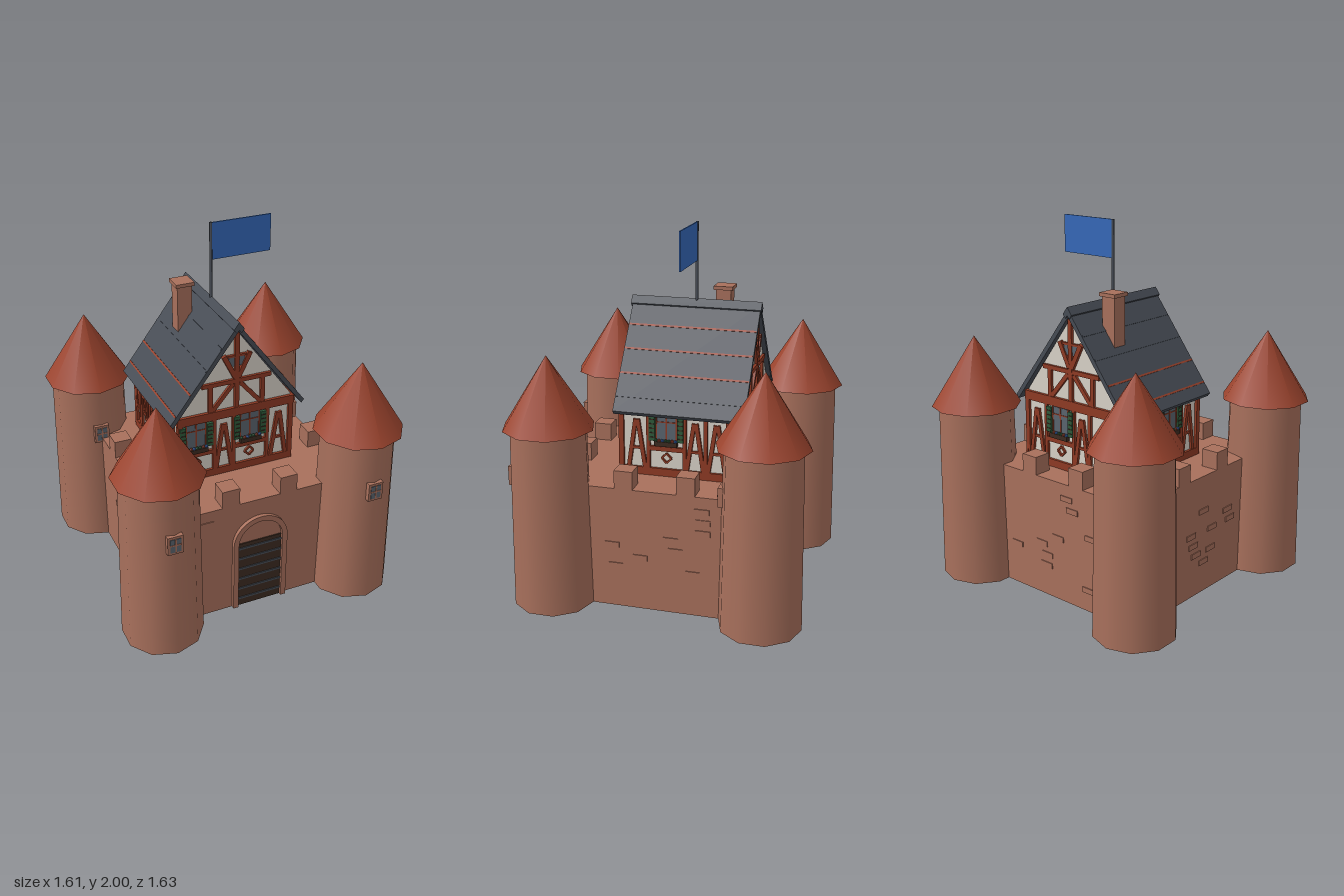
import * as THREE from 'three';

const mat = (name, color) => Object.assign(new THREE.MeshStandardMaterial({ color }), { name });

export function createModel() {
  const brick = mat('brick', 0xa8705c), tile = mat('red tile', 0x9c442e), timber = mat('timber', 0x8e3a24);
  const plaster = mat('plaster', 0xd8d2c8), slate = mat('slate', 0x474c55), glass = mat('glass', 0x5a646e);
  const blue = mat('flag blue', 0x3568b8), green = mat('shutter green', 0x2f5a3a), wood = mat('dark wood', 0x3c2b21);

  const castle = new THREE.Group();
  castle.name = 'castle';

  function add(parent, name, geo, m, x = 0, y = 0, z = 0) {
    const mesh = new THREE.Mesh(geo, m);
    mesh.name = name;
    mesh.position.set(x, y, z);
    parent.add(mesh);
    return mesh;
  }
  const box = (parent, name, m, w, h, d, x, y, z) => add(parent, name, new THREE.BoxGeometry(w, h, d), m, x, y, z);
  function group(parent, name, x = 0, y = 0, z = 0, ry = 0) {
    const g = new THREE.Group();
    g.name = name;
    g.position.set(x, y, z);
    g.rotation.y = ry;
    parent.add(g);
    return g;
  }
  const polygon = pts => new THREE.Shape(pts.map(p => new THREE.Vector2(p[0], p[1])));
  const extrude = (shape, depth) => new THREE.ExtrudeGeometry(shape, { depth, bevelEnabled: false, curveSegments: 16 });

  // Timber running between two points on a facade
  function beam(parent, x1, y1, x2, y2, w = 0.025, d = 0.015) {
    const b = box(parent, 'timberBeam', timber, Math.hypot(x2 - x1, y2 - y1), w, d, (x1 + x2) / 2, (y1 + y2) / 2, d / 2);
    b.rotation.z = Math.atan2(y2 - y1, x2 - x1);
  }

  // Curtain walls
  box(castle, 'keepBase', brick, 1.14, 0.68, 1.14, 0, 0.34, 0);
  let seed = 7;
  const rand = () => (seed = (seed * 16807) % 2147483647) / 2147483647;
  for (let i = 0; i < 4; i++) {
    const wall = group(castle, 'wallSide', 0, 0, 0, i * Math.PI / 2);
    for (const s of [-1, 1]) box(wall, 'merlon', brick, 0.1, 0.105, 0.1, s * 0.168, 0.7275, 0.52);
    // Slightly raised stones
    for (let k = 0; k < 9; k++) {
      const x = (rand() - 0.5) * 0.62, y = 0.12 + 0.06 * Math.floor(rand() * 9);
      if (i === 0 && Math.abs(x) < 0.22) continue;
      box(wall, 'raisedStone', brick, 0.08, 0.03, 0.01, x, y, 0.57);
    }
  }

  // Corner towers
  for (const sx of [-1, 1]) for (const sz of [-1, 1]) {
    const t = group(castle, 'tower', sx * 0.57, 0, sz * 0.57);
    add(t, 'towerShaft', new THREE.CylinderGeometry(0.205, 0.222, 1, 10), brick, 0, 0.5, 0);
    add(t, 'towerRoof', new THREE.ConeGeometry(0.245, 0.385, 10), tile, 0, 1.182, 0);
    box(t, 'windowFrame', brick, 0.085, 0.105, 0.036, 0, 0.708, 0.205);
    box(t, 'windowPane', glass, 0.058, 0.078, 0.004, 0, 0.708, 0.224);
    box(t, 'windowBar', brick, 0.008, 0.078, 0.006, 0, 0.708, 0.225);
    box(t, 'windowBar', brick, 0.058, 0.008, 0.006, 0, 0.712, 0.225);
  }

  // Gate with arched surround
  const gate = group(castle, 'gate', 0, 0, 0.565);
  const arch = polygon([[-0.16, 0], [-0.13, 0], [-0.13, 0.42]]);
  arch.absarc(0, 0.42, 0.13, Math.PI, 0, true);
  arch.lineTo(0.13, 0);
  arch.lineTo(0.16, 0);
  arch.lineTo(0.16, 0.42);
  arch.absarc(0, 0.42, 0.16, 0, Math.PI, false);
  add(gate, 'gateArch', extrude(arch, 0.027), brick);
  box(gate, 'gateDoor', wood, 0.26, 0.42, 0.012, 0, 0.21, 0.005);
  for (let i = 0; i < 6; i++) box(gate, 'gateBar', slate, 0.26, 0.012, 0.008, 0, 0.05 + i * 0.068, 0.012);

  // House body with gables
  const house = group(castle, 'house');
  add(house, 'houseWalls', extrude(polygon([[-0.325, 0.68], [0.325, 0.68], [0.325, 1.09], [0, 1.53], [-0.325, 1.09]]), 0.655),
    plaster, 0, 0, -0.405);

  function houseWindow(f, x) {
    box(f, 'windowPane', glass, 0.115, 0.15, 0.006, x, 0.95, 0.006);
    for (const s of [-1, 1]) {
      box(f, 'windowFrame', timber, 0.008, 0.15, 0.012, x + s * 0.056, 0.95, 0.006);
      box(f, 'shutter', green, 0.034, 0.14, 0.016, x + s * 0.078, 0.95, 0.013);
      for (let k = 0; k < 5; k++) box(f, 'shutterSlat', wood, 0.026, 0.005, 0.004, x + s * 0.078, 0.9 + k * 0.025, 0.022);
    }
    beam(f, x, 0.88, x, 1.025, 0.008, 0.012);
    beam(f, x - 0.056, 0.985, x + 0.056, 0.985, 0.006, 0.012);
    beam(f, x - 0.095, 0.835, x + 0.095, 0.835);
    box(f, 'flowerBox', wood, 0.125, 0.026, 0.025, x, 0.868, 0.02);
    for (let k = 0; k < 7; k++)
      add(f, 'flower', new THREE.IcosahedronGeometry(0.01, 0), [green, tile, blue, green][k % 4], x - 0.054 + k * 0.018, 0.886, 0.024);
    // Diamond ornament
    const c = [[0, 0.027], [0.027, 0], [0, -0.027], [-0.027, 0]];
    c.forEach((p, k) => {
      const q = c[(k + 1) % 4];
      beam(f, x + p[0], 0.782 + p[1], x + q[0], 0.782 + q[1], 0.01, 0.012);
    });
  }

  // Half-timbered wall: long beams, posts, windows and A-shaped braces
  function facade(name, place, from, to, posts, windows, braces) {
    const f = group(house, name, ...place);
    beam(f, from, 0.7, to, 0.7, 0.045);
    beam(f, from, 1.055, to, 1.055, 0.05, 0.018);
    for (const x of [from + 0.014, to - 0.014]) beam(f, x, 0.68, x, 1.08, 0.028);
    for (const x of posts) beam(f, x, 0.72, x, 1.04, 0.02);
    for (const x of windows) houseWindow(f, x);
    for (const x of braces) {
      for (const s of [-1, 1]) beam(f, x + s * 0.046, 0.72, x + s * 0.006, 0.99, 0.022, 0.014);
      beam(f, x - 0.026, 0.83, x + 0.026, 0.83, 0.014, 0.012);
    }
    return f;
  }

  function gable(f) {
    beam(f, -0.2, 1.24, 0.2, 1.24, 0.024);
    beam(f, 0, 1.08, 0, 1.52, 0.026, 0.016);
    for (const s of [-1, 1]) {
      beam(f, s * 0.152, 1.08, s * 0.152, 1.24);
      beam(f, s * 0.14, 1.085, s * 0.02, 1.225, 0.024, 0.014);
      beam(f, s * 0.008, 1.26, s * 0.075, 1.395, 0.026, 0.017);
      box(f, 'atticPane', glass, 0.04, 0.055, 0.008, s * 0.026, 1.355, 0.006);
    }
    beam(f, -0.055, 1.388, 0.055, 1.388, 0.012);
  }

  const H = Math.PI / 2;
  gable(facade('frontFacade', [0, 0, 0.25, 0], -0.34, 0.34, [-0.13, -0.015, 0.185], [-0.235, 0.08], [-0.072, 0.255]));
  gable(facade('backFacade', [0, 0, -0.405, Math.PI], -0.34, 0.34, [-0.185, 0.015, 0.13], [-0.08], [-0.255, 0.072, 0.235]));
  for (const s of [1, -1])
    facade(s > 0 ? 'rightFacade' : 'leftFacade', [s * 0.325, 0, 0, s * H], s > 0 ? -0.265 : -0.42, s > 0 ? 0.42 : 0.265,
      [-0.1, 0.1, 0.215, 0.335].map(x => s * x), [0], [-0.165, 0.157, 0.275, 0.37].map(x => s * x));

  // Pitched roof with ridge cap
  const slope = 1.325, top = 1.573;
  function chevron(name, half, peak, drop, z0, z1) {
    const e = peak - half * slope, inset = drop / slope / 2;
    const pts = [[-half, e], [-half + inset, e - drop / 2], [0, peak - drop], [half - inset, e - drop / 2], [half, e], [0, peak]];
    add(house, name, extrude(polygon(pts), z1 - z0), slate, 0, 0, z0);
  }
  chevron('roof', 0.398, top, 0.04, -0.43, 0.278);
  chevron('ridgeCap', 0.03, top + 0.015, 0.045, -0.436, 0.286);
  const course = (x, m) => {
    const c = box(house, 'roofCourse', m, 0.01, 0.006, 0.7, x, top - slope * Math.abs(x), -0.076);
    c.rotation.z = -Math.sign(x) * Math.atan(slope);
  };
  for (const x of [-0.355, -0.27, 0.095, 0.18, 0.265]) course(x, tile);
  for (const x of [-0.18, -0.095, 0.345]) course(x, slate);

  // Chimney
  const chimney = group(house, 'chimney', -0.116, 0, -0.207);
  box(chimney, 'chimneyShaft', brick, 0.085, 0.33, 0.082, 0, 1.465, 0);
  box(chimney, 'chimneyCap', brick, 0.106, 0.02, 0.106, 0, 1.636, 0);

  // Flag
  add(castle, 'flagPole', new THREE.CylinderGeometry(0.008, 0.008, 0.46, 10), slate, 0, 1.77, -0.078);
  box(castle, 'flag', blue, 0.343, 0.205, 0.008, 0.174, 1.8965, -0.078);

  return castle;
}
